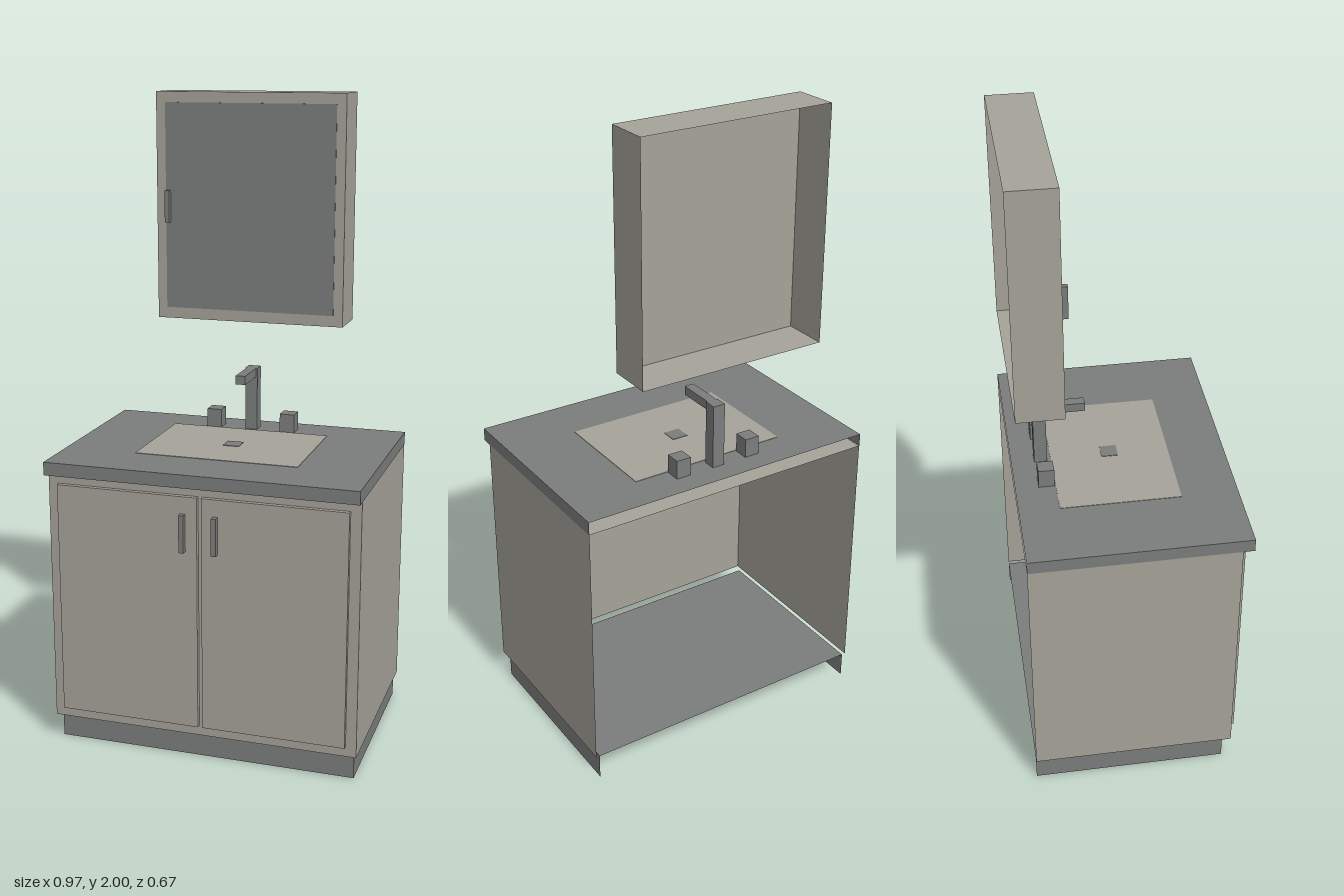
import * as THREE from 'three';

const beige = new THREE.MeshStandardMaterial({ name: 'beige', color: 0xa6a299, side: THREE.DoubleSide });
const grey = new THREE.MeshStandardMaterial({ name: 'grey', color: 0x7b7d7c, side: THREE.DoubleSide });

// Faces of a box in the order of its geometry groups
const BOTTOM = 3, BACK = 5;

// Box given by its limits on each axis, with the listed faces left open
function box(name, material, [x0, x1], [y0, y1], [z0, z1], open = []) {
  const geometry = new THREE.BoxGeometry(x1 - x0, y1 - y0, z1 - z0);
  const index = Array.from(geometry.index.array);
  geometry.setIndex(index.filter((_, i) => !open.includes(Math.floor(i / 6))));
  geometry.clearGroups();
  const mesh = new THREE.Mesh(geometry, material);
  mesh.name = name;
  mesh.position.set((x0 + x1) / 2, (y0 + y1) / 2, (z0 + z1) / 2);
  return mesh;
}

// Limits on x for a part reaching from a to b on the given side
const sideRange = (side, a, b) => (side > 0 ? [a, b] : [-b, -a]);

function createVanity() {
  const vanity = new THREE.Group();
  vanity.name = 'vanity';
  const back = -0.334;

  // Hollow shells, open against the wall and underneath
  vanity.add(
    box('plinth', grey, [-0.474, 0.474], [0, 0.082], [back, 0.274], [BOTTOM, BACK]),
    box('cabinetBody', beige, [-0.486, 0.486], [0.082, 0.885], [back, 0.3], [BOTTOM, BACK]),
    box('countertop', grey, [-0.487, 0.487], [0.885, 0.926], [back, 0.334], [BOTTOM, BACK]),
  );

  // Sink and drain laid flush in the top
  vanity.add(
    box('sink', beige, [-0.258, 0.258], [0.925, 0.9275], [-0.21, 0.159]),
    box('drain', grey, [-0.026, 0.026], [0.926, 0.929], [-0.052, 0]),
  );

  // Doors, door handles and taps in pairs
  for (const side of [-1, 1]) {
    vanity.add(
      box('door', beige, sideRange(side, 0.007, 0.453), [0.115, 0.853], [0.3, 0.315]),
      box('doorHandle', grey, sideRange(side, 0.043, 0.058), [0.683, 0.8], [0.315, 0.334]),
      box('tapKnob', grey, sideRange(side, 0.099, 0.147), [0.926, 0.986], [-0.262, -0.213]),
    );
  }

  // Faucet
  vanity.add(
    box('faucetPost', grey, [-0.02, 0.02], [0.926, 1.13], [-0.262, -0.222]),
    box('faucetSpout', grey, [-0.0155, 0.0155], [1.102, 1.13], [-0.222, -0.1]),
  );
  return vanity;
}

function createMirrorCabinet() {
  const cabinet = new THREE.Group();
  cabinet.name = 'mirrorCabinet';
  cabinet.add(
    box('mirrorCabinetBody', beige, [-0.305, 0.305], [1.286, 2], [-0.334, -0.192], [BACK]),
    box('mirror', grey, [-0.275, 0.275], [1.321, 1.967], [-0.192, -0.19], [BACK]),
    box('mirrorHandle', grey, [-0.274, -0.259], [1.595, 1.695], [-0.19, -0.173]),
  );
  return cabinet;
}

export function createModel() {
  const model = new THREE.Group();
  model.name = 'bathroomVanity';
  model.add(createVanity(), createMirrorCabinet());
  return model;
}
